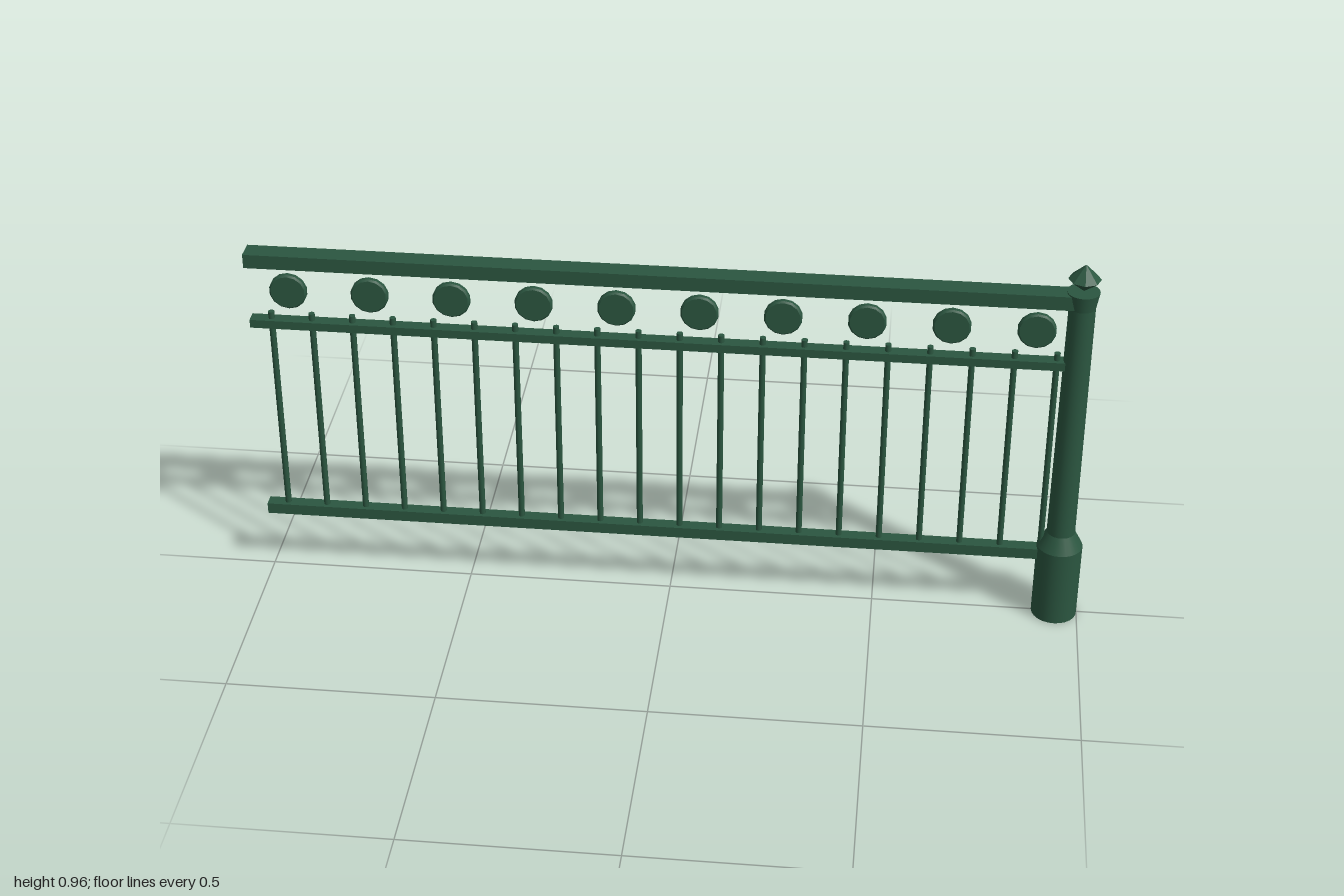
import * as THREE from 'three';

export function createModel() {
  const model = new THREE.Group();
  model.name = 'railing';
  const green = new THREE.MeshStandardMaterial({ color: 0x2b5640 });
  green.name = 'dark green paint';

  const add = (name, geometry, x, y, z = 0) => {
    const mesh = new THREE.Mesh(geometry, green);
    mesh.name = name;
    mesh.position.set(x, y, z);
    model.add(mesh);
    return mesh;
  };
  // Lathe from [radius, height] pairs; each band keeps its own crisp normals
  const turned = (name, profile, sides, x, y) => {
    const group = new THREE.Group();
    group.name = name;
    group.position.set(x, y, 0);
    for (let i = 0; i < profile.length - 1; i++) {
      const pts = [profile[i], profile[i + 1]].map(([r, h]) => new THREE.Vector2(r, h));
      const band = new THREE.Mesh(new THREE.LatheGeometry(pts, sides), green);
      band.name = name + 'Band';
      group.add(band);
    }
    model.add(group);
    return group;
  };

  // Post at the left end, with a flared base and cap
  const postX = 0.945;
  turned('post', [
    [0, 0], [0.055, 0], [0.055, 0.197], [0.034, 0.236],
    [0.031, 0.855], [0.038, 0.896], [0, 0.896],
  ], 24, postX, 0);

  // Pointed finial
  const finial = new THREE.LatheGeometry(
    [[0, -0.031], [0.038, 0], [0, 0.037]].map(([r, h]) => new THREE.Vector2(r, h)), 8,
  ).toNonIndexed();
  finial.computeVertexNormals();
  add('finial', finial, postX, 0.928);

  // Horizontal rails: name, bottom, top, depth
  const railEnd = 0.94;
  for (const [name, y0, y1, depth] of [
    ['handrail', 0.857, 0.892, 0.05],
    ['middleRail', 0.691, 0.712, 0.032],
    ['bottomRail', 0.16, 0.188, 0.032],
  ]) {
    add(name, new THREE.BoxGeometry(railEnd + 1, y1 - y0, depth), (railEnd - 1) / 2, (y0 + y1) / 2);
  }

  // Upright bars
  const bar = new THREE.CylinderGeometry(0.0075, 0.0075, 0.56, 10);
  for (let i = 0; i < 20; i++) add('bar', bar, -0.95 + i * 0.0973, 0.45);

  // Row of bevelled discs under the handrail
  const discProfile = [[0, -0.009], [0.041, -0.009], [0.045, -0.005], [0.045, 0.005], [0.041, 0.009], [0, 0.009]];
  for (let i = 0; i < 10; i++) {
    const disc = turned('disc', discProfile, 14, -0.904 + i * 0.1946, 0.788);
    disc.rotation.x = Math.PI / 2;
  }

  return model;
}
